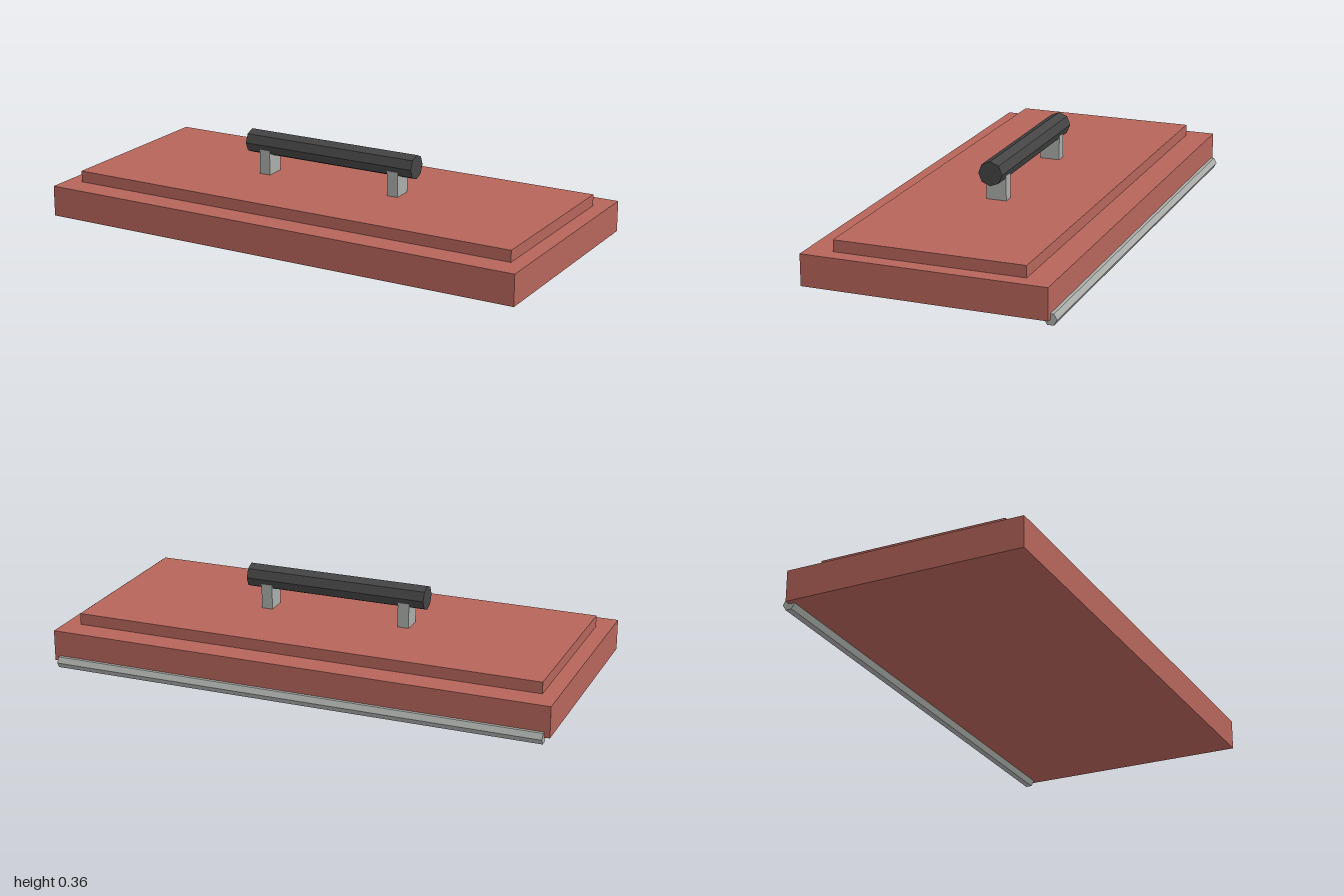
import * as THREE from 'three';

const mat = (name, color) => {
  const m = new THREE.MeshStandardMaterial({ color });
  m.name = name;
  m.flatShading = true;
  return m;
};

export function createModel() {
  const group = new THREE.Group();
  const red = mat('red paint', 0xb5645a);
  const grip = mat('dark grip', 0x444444);
  const steel = mat('grey steel', 0xaaadaa);
  const midZ = 0.013;

  const add = (name, geometry, material, x, y, z) => {
    const mesh = new THREE.Mesh(geometry, material);
    mesh.name = name;
    mesh.position.set(x, y, z);
    group.add(mesh);
  };
  // Box given by its bottom and top heights
  const box = (name, material, width, depth, y0, y1, x = 0) =>
    add(name, new THREE.BoxGeometry(width, y1 - y0, depth), material, x, (y0 + y1) / 2, midZ);
  // Faceted bar lying along x
  const bar = (name, material, radius, length, sides, y, z) =>
    add(name, new THREE.CylinderGeometry(radius, radius, length, sides).rotateZ(Math.PI / 2), material, 0, y, z);

  // Lid slab and raised panel
  box('lid', red, 2, 0.939, 0.022, 0.144);
  box('raisedPanel', red, 1.876, 0.736, 0.144, 0.189);

  // Handle on two posts
  for (const side of [-1, 1]) {
    box(side > 0 ? 'leftPost' : 'rightPost', steel, 0.045, 0.08, 0.189, 0.287, side * 0.285);
  }
  bar('handle', grip, 0.048, 0.735, 8, 0.308, midZ);

  // Hinge rod along the lower back edge
  bar('hingeRod', steel, 0.0245, 1.956, 6, 0.0215, -0.457);

  return group;
}
